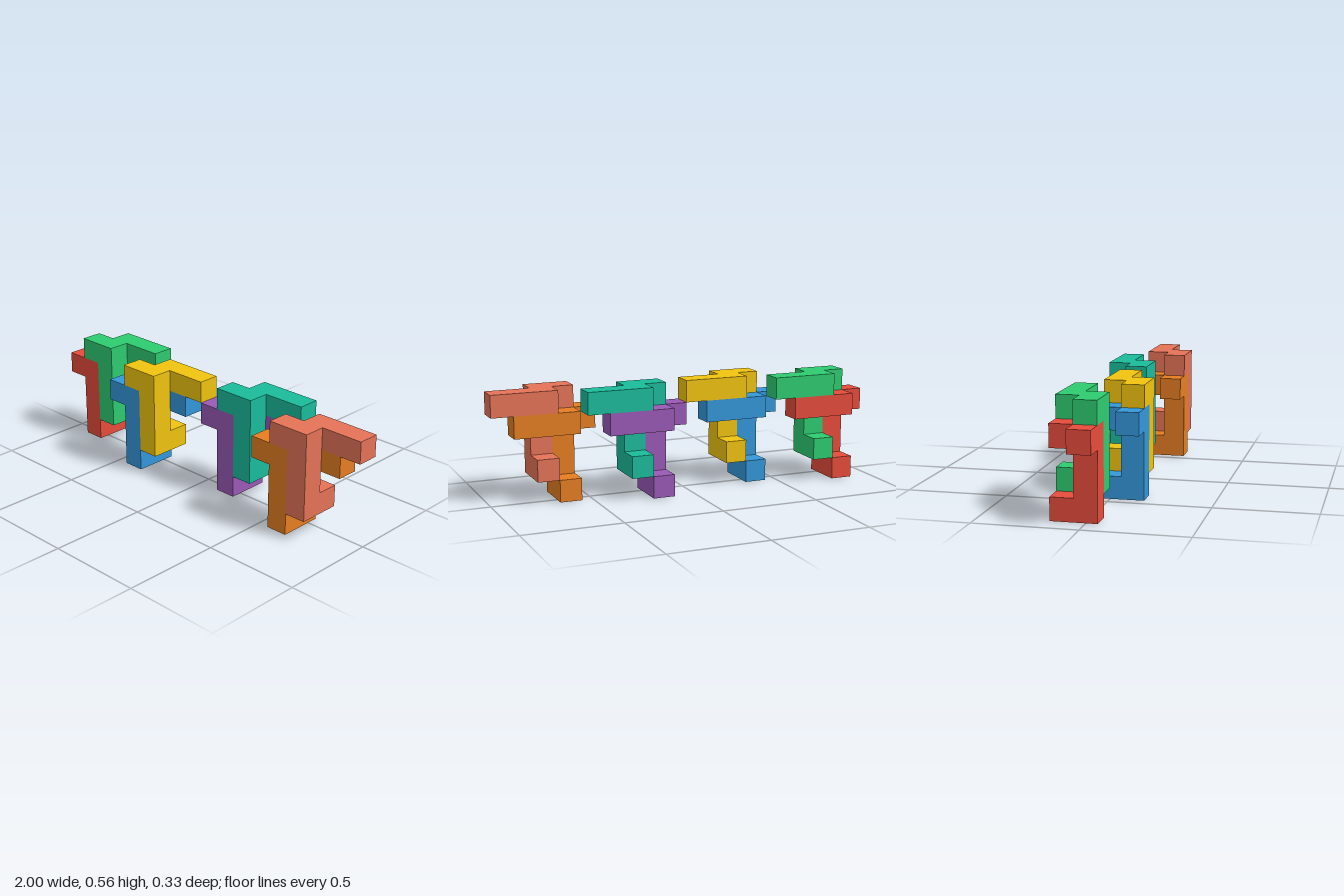
import * as THREE from 'three';
import { mergeGeometries } from 'three/addons/utils/BufferGeometryUtils.js';

const U = 1 / 9; // edge of one cube

// Cells of one piece, relative to the foot of its column
const CELLS = [
  [0, 0, 0], [0, 1, 0], [0, 2, 0], [0, 3, 0],   // column
  [-1, 3, 0],                                   // side arm
  [0, 3, -1], [1, 3, -1], [2, 3, -1],           // back bar
  [0, 0, -1],                                   // foot
];

// Outward directions, each with the rotation that turns a +z plane to face it
const H = Math.PI / 2;
const SIDES = [
  [[0, 0, 1], 0, 0], [[0, 0, -1], 0, Math.PI],
  [[1, 0, 0], 0, H], [[-1, 0, 0], 0, -H],
  [[0, 1, 0], -H, 0], [[0, -1, 0], H, 0],
];

// Closed skin of a set of joined cubes: only the exposed faces are kept
function polycube(cells) {
  const filled = new Set(cells.map((c) => c.join()));
  const faces = [];
  for (const c of cells) {
    for (const [d, rx, ry] of SIDES) {
      if (filled.has(c.map((v, i) => v + d[i]).join())) continue;
      const p = c.map((v, i) => (v + d[i] / 2) * U);
      faces.push(new THREE.PlaneGeometry(U, U).rotateX(rx).rotateY(ry).translate(...p));
    }
  }
  return mergeGeometries(faces);
}

// Column cell x and z of each interlocking pair, with its lower and upper piece
const PAIRS = [
  { x: -8, z: 0, lower: ['red', 0xe74c3c], upper: ['green', 0x2ecc71] },
  { x: -4, z: 1, lower: ['blue', 0x3498db], upper: ['yellow', 0xf1c40f] },
  { x: 1, z: 0, lower: ['purple', 0x9b59b6], upper: ['teal', 0x1abc9c] },
  { x: 5, z: 1, lower: ['orange', 0xe67e22], upper: ['coral', 0xe57358] },
];

export function createModel() {
  const model = new THREE.Group();
  model.name = 'interlockingCubePieces';
  const geometry = polycube(CELLS);

  PAIRS.forEach(({ x, z, lower, upper }, i) => {
    const pair = new THREE.Group();
    pair.name = `piecePair${i + 1}`;
    pair.position.set((x + 0.5) * U, 0.5 * U, z * U);
    // The upper piece sits one cube right and one cube up from the lower
    [lower, upper].forEach(([name, color], step) => {
      const piece = new THREE.Mesh(geometry, new THREE.MeshStandardMaterial({ color }));
      piece.name = `${name}Piece`;
      piece.position.set(step * U, step * U, 0);
      pair.add(piece);
    });
    model.add(pair);
  });
  return model;
}
